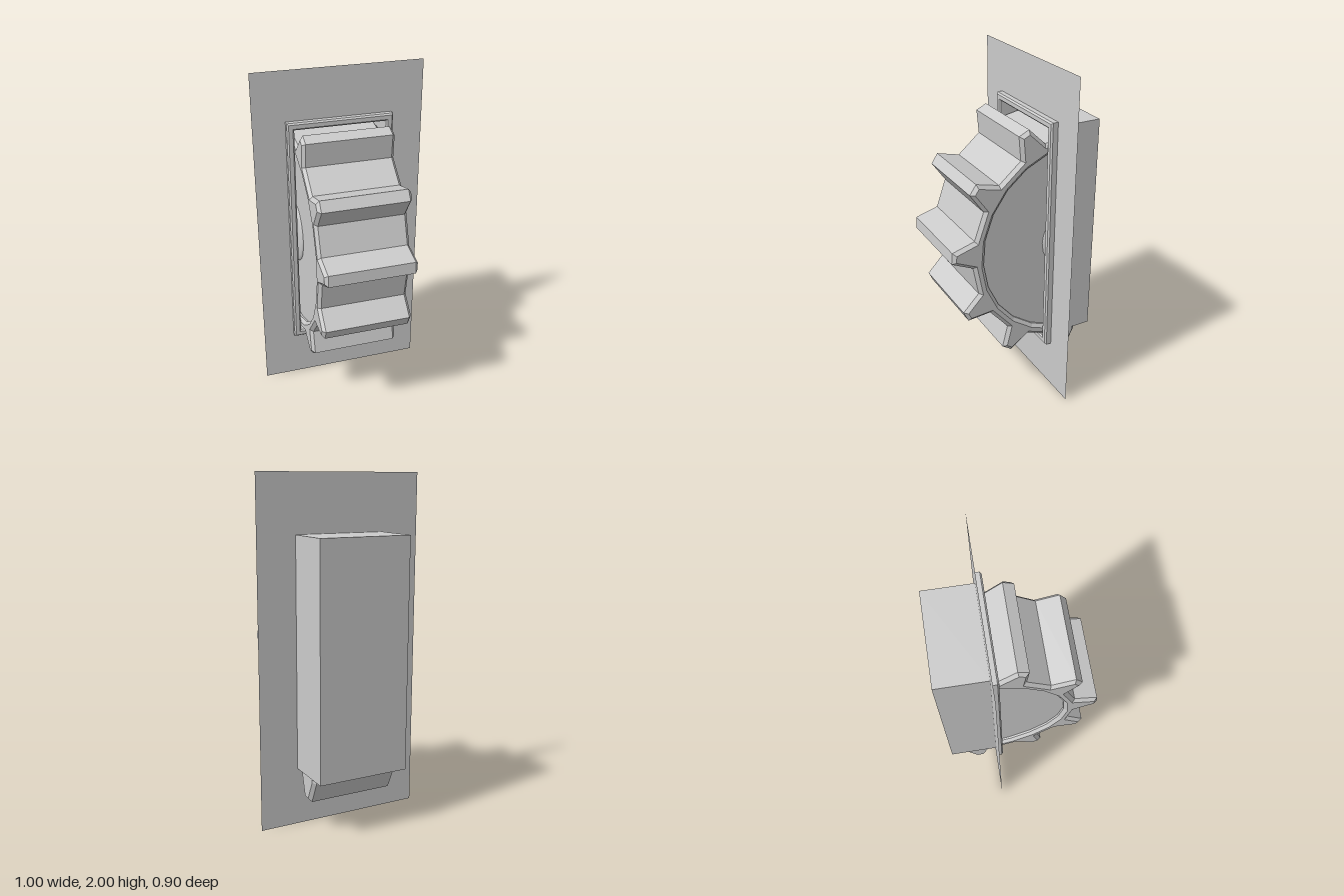
import * as THREE from 'three';

const AXIS_Z = -0.326, AXIS_Y = 0.959; // wheel axis
const HALF_W = 0.268;
const START = -93, ARC_STEPS = 12; // the wheel is a half turn from START degrees

function mat(side = THREE.FrontSide, flat = true) {
  return new THREE.MeshStandardMaterial({ color: 0xcccccc, flatShading: flat, side });
}

function add(group, name, geometry, material) {
  const mesh = new THREE.Mesh(geometry, material);
  mesh.name = name;
  group.add(mesh);
  return mesh;
}

function rect(Type, x0, y0, x1, y1) {
  const r = new Type();
  r.moveTo(x0, y0).lineTo(x1, y0).lineTo(x1, y1).lineTo(x0, y1).closePath();
  return r;
}

const polar = (r, deg) => {
  const a = THREE.MathUtils.degToRad(deg);
  return new THREE.Vector2(r * Math.cos(a), r * Math.sin(a));
};

// Points of a half circle, counter-clockwise
const halfArc = (r) => Array.from({ length: ARC_STEPS + 1 }, (_, i) => polar(r, START + i * 180 / ARC_STEPS));

// Half gear: six teeth with flat valleys outside, a round arc inside
function gearShape() {
  const pts = [];
  for (let i = 0; i < 6; i++) {
    const c = START + 7.3 + i * 30;
    pts.push(polar(0.651, c - 7.3), polar(0.777, c - 2.5), polar(0.777, c + 2.5), polar(0.651, c + 7.3));
  }
  pts.push(polar(0.651, START + 180), ...halfArc(0.585).reverse());
  return new THREE.Shape(pts);
}

export function createModel() {
  const model = new THREE.Group();
  model.name = 'thumbwheelPanel';

  // Thin panel with an opening for the wheel
  const panelShape = rect(THREE.Shape, -0.5, 0, 0.5, 2);
  panelShape.holes.push(rect(THREE.Path, -0.272, 0.337, 0.272, 1.668));
  add(model, 'panel', new THREE.ShapeGeometry(panelShape), mat(THREE.DoubleSide)).position.z = -0.16;

  // Frame around the opening, bevelled on its front only
  const frameShape = rect(THREE.Shape, -0.312, 0.296, 0.312, 1.71);
  frameShape.holes.push(rect(THREE.Path, -0.27, 0.337, 0.27, 1.668));
  const frameGeo = new THREE.ExtrudeGeometry(frameShape, {
    depth: 0.031, bevelThickness: 0.009, bevelSize: 0.009, bevelOffset: -0.009, bevelSegments: 1,
  });
  const pos = frameGeo.attributes.position;
  for (let i = 0; i < pos.count; i++) pos.setZ(i, Math.max(0, pos.getZ(i))); // flatten the back
  frameGeo.computeVertexNormals();
  add(model, 'frame', frameGeo, mat()).position.z = -0.16;

  // Housing behind the panel, open to the front
  const boxGeo = new THREE.BoxGeometry(0.544, 1.331, 0.292);
  const idx = Array.from(boxGeo.index.array);
  idx.splice(24, 6);
  boxGeo.setIndex(idx);
  boxGeo.clearGroups();
  add(model, 'housing', boxGeo, mat(THREE.DoubleSide)).position.set(0, 1.0025, -0.306);

  // Wheel: shapes are drawn in the z-y plane and extruded across x
  const wheel = new THREE.Group();
  wheel.name = 'wheel';
  wheel.position.set(0, AXIS_Y, AXIS_Z);
  wheel.rotation.y = -Math.PI / 2;
  model.add(wheel);

  const bevel = 0.018;
  const rimDepth = 2 * (HALF_W - bevel);
  const rimGeo = new THREE.ExtrudeGeometry(gearShape(), {
    depth: rimDepth, bevelThickness: bevel, bevelSize: 0.02, bevelOffset: -0.02, bevelSegments: 1,
  });
  rimGeo.translate(0, 0, -rimDepth / 2);
  add(wheel, 'toothedRim', rimGeo, mat());

  // Slightly recessed half disc closing the sides
  const discX = 0.238;
  const discGeo = new THREE.ExtrudeGeometry(new THREE.Shape(halfArc(0.6)), { depth: 2 * discX, bevelEnabled: false });
  discGeo.translate(0, 0, -discX);
  add(wheel, 'sideDisc', discGeo, mat());

  // Low dome at the axis on each side, front half only
  for (const s of [1, -1]) {
    const hub = add(wheel, 'hub', new THREE.SphereGeometry(0.2, 16, 12, Math.PI / 2, Math.PI), mat(THREE.DoubleSide, false));
    hub.scale.z = 0.15;
    hub.position.z = s * discX;
  }
  return model;
}
